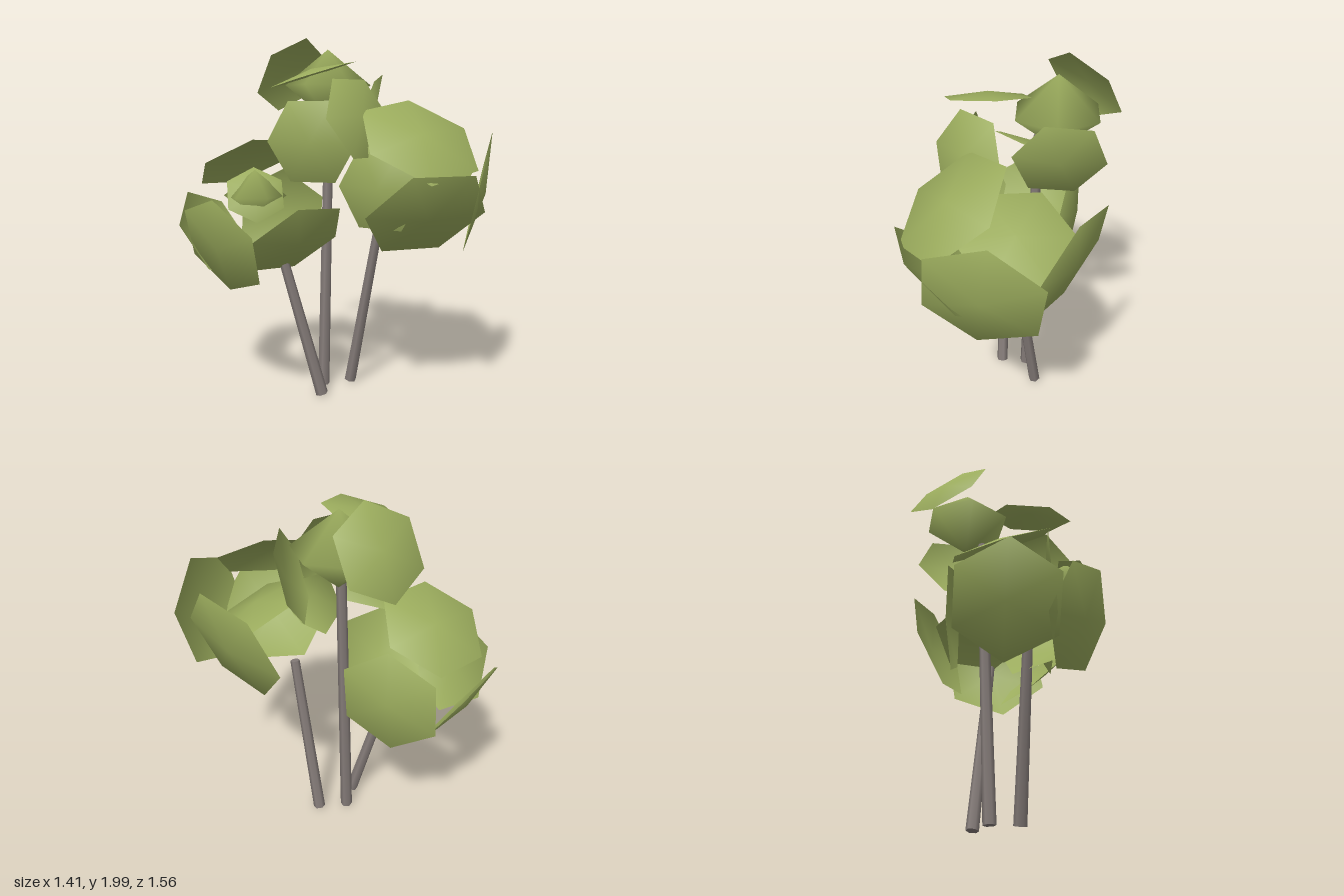
import * as THREE from 'three';

const leafMat = new THREE.MeshStandardMaterial({ color: 0x9bac5d, side: THREE.DoubleSide });
leafMat.name = 'leaf green';
const barkMat = new THREE.MeshStandardMaterial({ color: 0x857c79 });
barkMat.name = 'bark grey';

// Hexagonal leaf pad of radius 1, raised in the middle, with soft normals
const padGeometry = new THREE.CircleGeometry(1, 6);
const rim = padGeometry.attributes.position;
const normals = padGeometry.attributes.normal;
rim.setZ(0, 0.13);
for (let i = 1; i < rim.count; i++) {
  const n = new THREE.Vector3(rim.getX(i) * 0.5, rim.getY(i) * 0.5, 1).normalize();
  normals.setXYZ(i, n.x, n.y, n.z);
}

// Pad facing a compass direction (yaw) and tilted up (pitch), in degrees
function leafPad(size, [x, y, z, yaw, pitch, roll = 0]) {
  const pad = new THREE.Mesh(padGeometry, leafMat);
  const rad = THREE.MathUtils.degToRad;
  pad.position.set(x, y, z);
  pad.rotation.set(-rad(pitch), rad(yaw), rad(roll), 'YXZ');
  pad.scale.setScalar(size);
  pad.name = 'leafPad';
  return pad;
}

// Slightly tapered six-sided stem
function trunk(base, tip) {
  const dir = tip.clone().sub(base);
  const stem = new THREE.Mesh(new THREE.CylinderGeometry(0.026, 0.034, dir.length(), 6), barkMat);
  stem.position.copy(base).lerp(tip, 0.5);
  stem.quaternion.setFromUnitVectors(new THREE.Vector3(0, 1, 0), dir.normalize());
  stem.name = 'trunk';
  return stem;
}

// Six-sided lump of leaves inside the crown
function crownCore(centre, radius) {
  const core = new THREE.Mesh(new THREE.SphereGeometry(radius, 6, 2), leafMat);
  core.scale.y = 0.82;
  core.rotation.y = 0.25;
  core.position.copy(centre);
  core.name = 'crownCore';
  return core;
}

function makeTree(name, base, tip, size, pads) {
  const tree = new THREE.Group();
  tree.name = name;
  tree.add(trunk(base, tip), ...pads.map((pad) => leafPad(size, pad)));
  return tree;
}

const at = (x, y, z) => new THREE.Vector3(x, y, z);

export function createModel() {
  const model = new THREE.Group();
  model.name = 'treeCluster';

  // Tall tree: back, left, right, front and far left pads
  const tallTree = makeTree('tallTree', at(-0.02, 0.01, -0.15), at(0.04, 1.6, -0.16), 0.24, [
    [0.05, 1.785, -0.48, 180, 32, 30],
    [-0.2, 1.77, -0.03, -130, 73, 40],
    [0.27, 1.57, -0.08, 51, -18, -8],
    [-0.1, 1.55, 0.2, 2, 20],
    [-0.27, 1.43, 0.03, -60, -4],
  ]);
  tallTree.add(crownCore(at(0.1, 1.725, -0.23), 0.24));
  model.add(tallTree);

  // Low tree at the back: top, right, back, left and front pads
  const lowTree = makeTree('lowTree', at(-0.13, 0.01, -0.05), at(-0.29, 0.88, -0.22), 0.285, [
    [-0.3, 1.3, -0.48, 180, 58, 5],
    [-0.03, 0.96, -0.5, 120, 0, 34],
    [-0.42, 0.89, -0.62, -158, -32, 21],
    [-0.615, 0.89, -0.29, -86, -21, 18],
    [-0.32, 0.92, -0.04, -5, -43, -6],
  ]);
  lowTree.add(leafPad(0.16, [-0.52, 1.17, -0.12, -34, 35, 30]), crownCore(at(-0.49, 1.16, -0.16), 0.16));
  model.add(lowTree);

  // Broad tree in front: right corner, right, lower front, upper front and top pads
  const broadTree = makeTree('broadTree', at(0.13, 0.01, -0.08), at(0.16, 0.96, 0.11), 0.33, [
    [0.43, 1.16, 0.57, 33, -12, 21],
    [0.53, 1.18, 0.09, 104, -17, 50],
    [0.06, 1.07, 0.52, -27, -42],
    [0.08, 1.44, 0.45, -19, 51, 15],
  ]);
  broadTree.add(leafPad(0.3, [0.3, 1.27, 0.24, 52, 62]), leafPad(0.24, [-0.08, 1.2, 0.33, -75, 0]));
  model.add(broadTree);

  return model;
}
